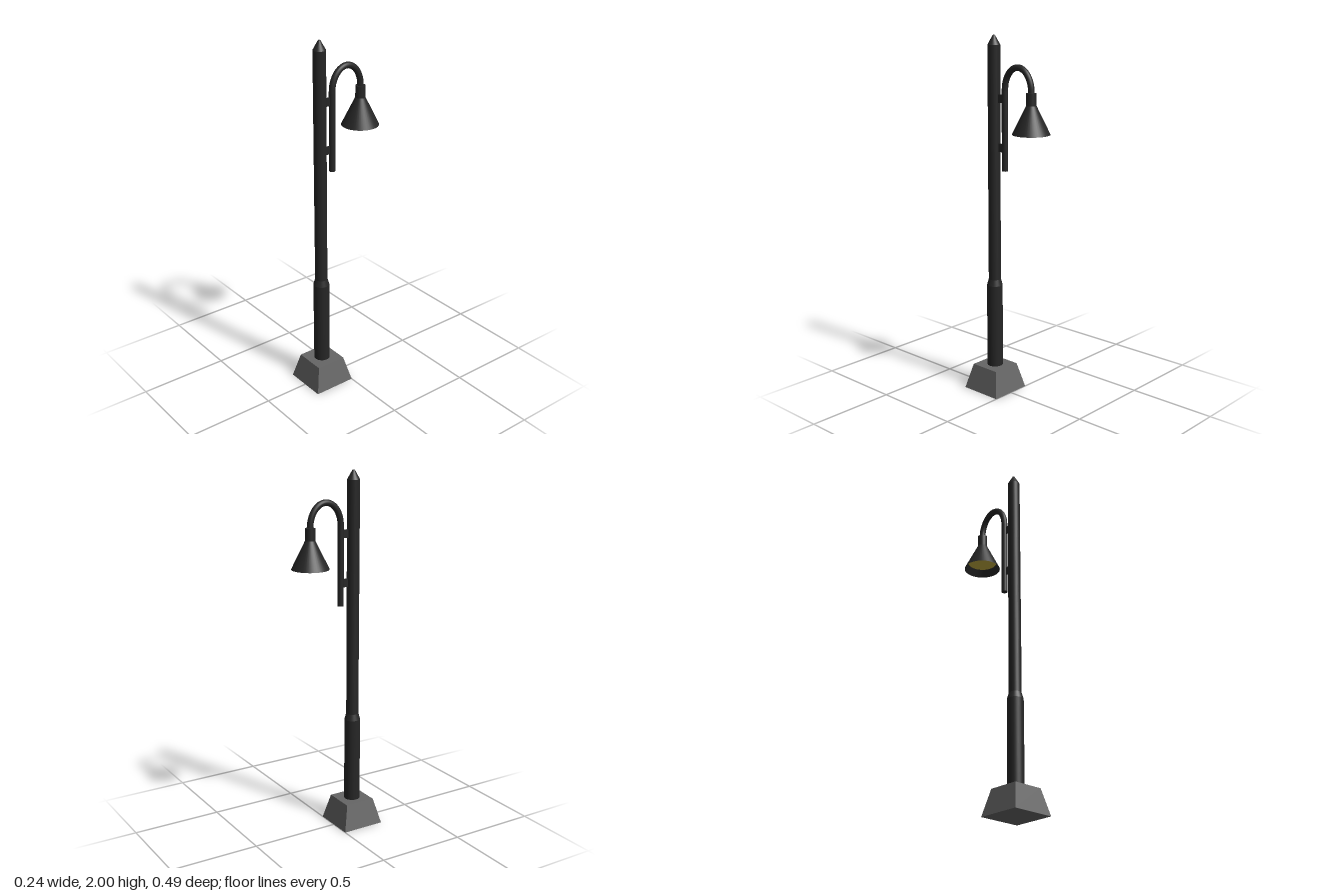
import * as THREE from 'three';

const POLE_Z = 0.122, ARM_Z = 0.043, LAMP_Z = -0.144;

export function createModel() {
  const group = new THREE.Group();
  const iron = new THREE.MeshStandardMaterial({ color: 0x262626 });
  const ironOpen = new THREE.MeshStandardMaterial({ color: 0x262626, side: THREE.DoubleSide });
  const stone = new THREE.MeshStandardMaterial({ color: 0x666666, flatShading: true });
  const glow = new THREE.MeshStandardMaterial({ color: 0xc8b040 });

  function add(name, geometry, material, x, y, z) {
    const mesh = new THREE.Mesh(geometry, material);
    mesh.name = name;
    mesh.position.set(x, y, z);
    group.add(mesh);
    return mesh;
  }
  // Stacks cylinder sections so every change of slope stays crisp
  function stack(name, sections, z) {
    const part = new THREE.Group();
    part.name = name;
    for (const [y0, y1, r0, r1] of sections) {
      const mesh = new THREE.Mesh(new THREE.CylinderGeometry(r1, r0, y1 - y0, 32), iron);
      mesh.name = name + 'Section';
      mesh.position.set(0, (y0 + y1) / 2, z);
      part.add(mesh);
    }
    group.add(part);
  }

  // Tapered square footing
  const footing = new THREE.CylinderGeometry(0.087 * Math.SQRT2, 0.122 * Math.SQRT2, 0.143, 4);
  footing.rotateY(Math.PI / 4);
  add('footing', footing, stone, 0, 0.0715, POLE_Z);

  // Pole: thick sleeve, shoulder, shaft and pointed cap
  stack('pole', [
    [0.14, 0.62, 0.044, 0.044],
    [0.62, 0.655, 0.044, 0.034],
    [0.655, 1.95, 0.034, 0.034],
    [1.95, 2.0, 0.034, 0.006],
  ], POLE_Z);

  // Arm: straight tube that hooks over to the lamp
  const path = new THREE.CurvePath();
  path.add(new THREE.LineCurve3(new THREE.Vector3(0, 1.28, ARM_Z), new THREE.Vector3(0, 1.715, ARM_Z)));
  const arc = [];
  const reach = (ARM_Z - LAMP_Z) / 2;
  for (let i = 0; i <= 12; i++) {
    const a = Math.PI * i / 12;
    arc.push(new THREE.Vector3(0, 1.715 + 0.125 * Math.sin(a), LAMP_Z + reach * (1 + Math.cos(a))));
  }
  path.add(new THREE.CatmullRomCurve3(arc));
  add('arm', new THREE.TubeGeometry(path, 80, 0.017, 16), iron, 0, 0, 0);
  const armEnd = new THREE.CircleGeometry(0.017, 16);
  armEnd.rotateX(Math.PI / 2);
  add('armEnd', armEnd, iron, 0, 1.28, ARM_Z);

  // Thin plates joining the arm to the pole
  for (const y of [1.403, 1.668]) {
    add('bracket', new THREE.BoxGeometry(0.007, 0.045, 0.06), iron, 0, y, 0.07);
  }

  // Lamp: socket, hollow conical shade and glowing disc
  stack('socket', [[1.64, 1.715, 0.027, 0.027]], LAMP_Z);
  const shade = new THREE.CylinderGeometry(0.027, 0.101, 0.15, 40, 1, true);
  add('shade', shade, ironOpen, 0, 1.575, LAMP_Z);
  const disc = new THREE.CircleGeometry(0.08, 40);
  disc.rotateX(Math.PI / 2);
  add('light', disc, glow, 0, 1.54, LAMP_Z);

  return group;
}
